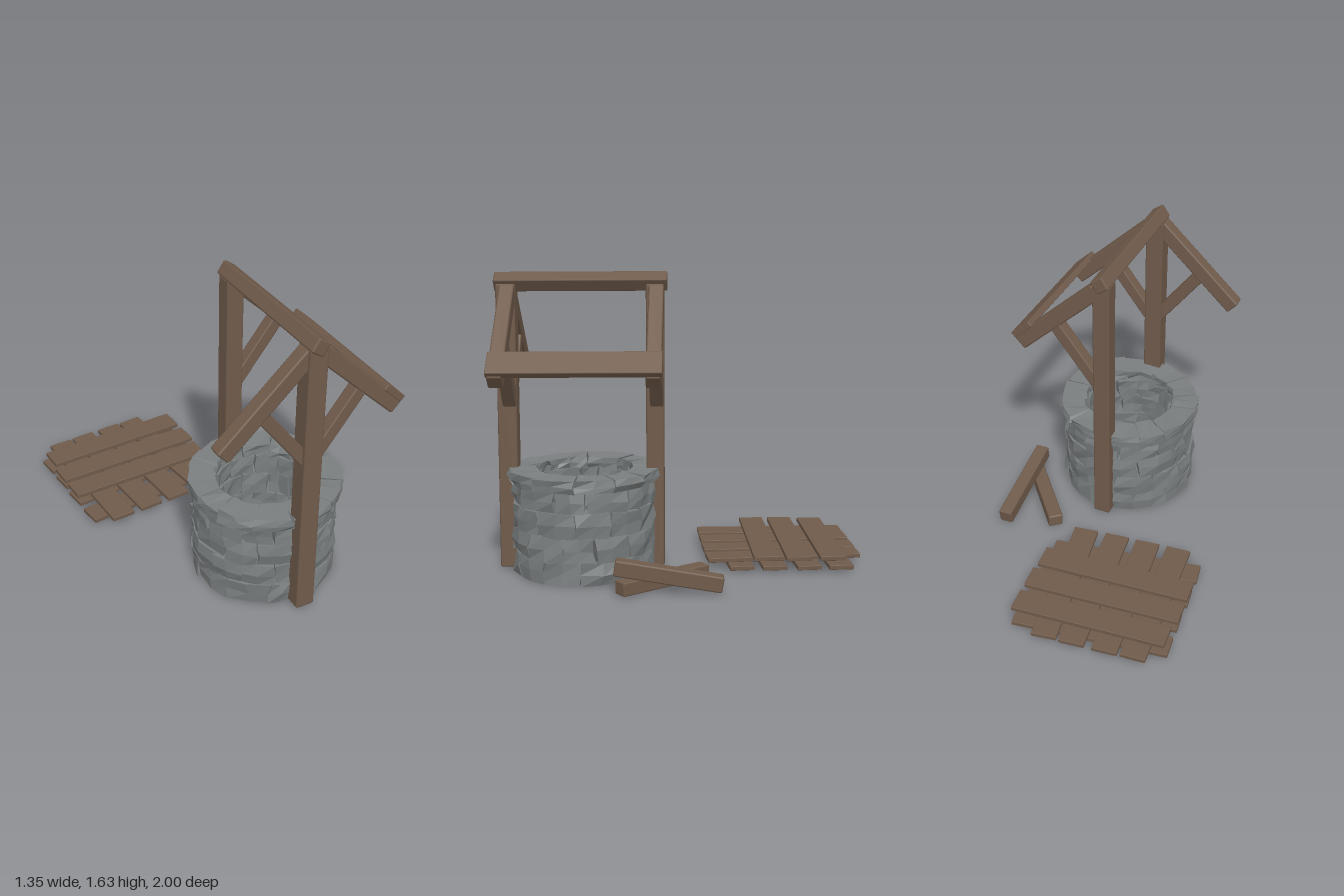
import * as THREE from 'three';
import { RoundedBoxGeometry } from 'three/addons/geometries/RoundedBoxGeometry.js';

const V = (x, y, z) => new THREE.Vector3(x, y, z);
const CX = 0.095, CZ = 0.53; // well centre

function seeded(seed) {
  return () => {
    seed = (seed * 16807) % 2147483647;
    return seed / 2147483647;
  };
}

export function createModel() {
  const model = new THREE.Group();
  const wood = new THREE.MeshStandardMaterial({ color: 0x705b4b });
  wood.name = 'wood';
  const stone = new THREE.MeshStandardMaterial({ color: 0x7a7e7e });
  stone.name = 'stone';
  const dark = new THREE.MeshStandardMaterial({ color: 0x1c1c1c, side: THREE.DoubleSide });
  dark.name = 'dark water';

  const rand = seeded(4711);
  const jit = (a) => (rand() * 2 - 1) * a;

  // Timber between two points; h is measured along the up vector
  function beam(name, a, b, w, h, up, parent = model) {
    const r = Math.min(0.01, Math.min(w, h) * 0.12);
    const mesh = new THREE.Mesh(new RoundedBoxGeometry(w, h, a.distanceTo(b), 1, r), wood);
    mesh.name = name;
    mesh.position.copy(a).lerp(b, 0.5);
    mesh.up.copy(up);
    mesh.lookAt(b);
    parent.add(mesh);
    return mesh;
  }

  // Irregular wedge-shaped stone: a box bent around the well with jittered corners
  function stoneBlock(a0, a1, y0, y1, r0, r1, rough) {
    const g = new THREE.BoxGeometry(1, 1, 1, 2, 2, 1);
    const p = g.attributes.position;
    const offsets = new Map();
    for (let i = 0; i < p.count; i++) {
      const x = p.getX(i), y = p.getY(i), z = p.getZ(i);
      const key = [x, y, z].map((n) => Math.round(n * 2)).join();
      if (!offsets.has(key)) offsets.set(key, [jit(0.035 * rough), jit(0.007), jit(0.012)]);
      const [da, dy, dr] = offsets.get(key);
      const bulge = z > 0 && Math.abs(y) < 0.1 ? 0.006 : 0;
      const angle = THREE.MathUtils.lerp(a0, a1, x + 0.5) + da;
      const radius = (z > 0 ? r1 + bulge : r0) + dr;
      const height = Math.max(0, THREE.MathUtils.lerp(y0, y1, y + 0.5) + dy);
      p.setXYZ(i, CX + Math.sin(angle) * radius, height, CZ + Math.cos(angle) * radius);
    }
    const flat = g.toNonIndexed();
    flat.computeVertexNormals();
    return new THREE.Mesh(flat, stone);
  }

  // Well wall: four courses and a wider rim
  const wall = new THREE.Group();
  wall.name = 'stoneWall';
  const courses = [
    [0.0, 0.125, 0.262, 0.388, 12], [0.125, 0.255, 0.262, 0.39, 12],
    [0.255, 0.388, 0.262, 0.386, 12], [0.388, 0.503, 0.262, 0.388, 12],
    [0.5, 0.568, 0.268, 0.412, 12],
  ];
  courses.forEach(([y0, y1, r0, r1, n], row) => {
    const cuts = [];
    for (let i = 0; i < n; i++) cuts.push(((i + row * 0.47 + jit(0.2)) / n) * Math.PI * 2);
    cuts.push(cuts[0] + Math.PI * 2);
    for (let i = 0; i < n; i++) {
      const s = stoneBlock(cuts[i] + 0.008, cuts[i + 1] - 0.008, y0, y1, r0, r1, 1);
      s.name = row === 4 ? 'rimStone' : 'wallStone';
      wall.add(s);
    }
  });
  model.add(wall);

  // Dark well bottom
  const water = new THREE.Mesh(new THREE.CircleGeometry(0.285, 32), dark);
  water.name = 'wellBottom';
  water.rotation.x = -Math.PI / 2;
  water.position.set(CX, 0.05, CZ);
  model.add(water);

  // Posts and ridge
  const Z = V(0, 0, 1), Y = V(0, 1, 0);
  beam('frontPost', V(0.092, 0.005, 0.942), V(0.095, 1.565, 0.935), 0.106, 0.106, Z);
  beam('backPost', V(0.095, 0.005, 0.138), V(0.095, 1.565, 0.136), 0.1, 0.098, Z);
  beam('ridgeBeam', V(CX, 1.575, 1.0), V(CX, 1.58, 0.07), 0.08, 0.08, V(Math.sin(0.6), Math.cos(0.6), 0));

  // Rafters with braces; the back frame has lost its -x side
  for (const [side, z, name] of [[-1, 0.934, 'frontRight'], [1, 0.925, 'frontLeft'], [1, 0.128, 'backLeft']]) {
    const at = (dx, y) => V(CX + side * dx, y, z);
    beam(name + 'Rafter', at(0.495, 1.093), at(0.025, 1.532), 0.088, 0.08, Z);
    beam(name + 'Brace', at(0.285, 1.265), at(0.025, 0.925), 0.07, 0.074, Z);
  }

  // Last remaining roof plank
  beam('roofPlank', V(0.564, 1.182, 0.97), V(0.572, 1.188, 0.083), 0.145, 0.038, V(0.68, 0.73, 0));

  // Fallen timbers
  beam('fallenBeam', V(0.593, 0.145, 0.333), V(0.58, 0.052, -0.227), 0.08, 0.085, Y);
  beam('fallenBrace', V(0.295, 0.043, -0.133), V(0.64, 0.043, 0.305), 0.085, 0.075, Y);

  // Collapsed roof panel: three crossed layers of planks
  const panel = new THREE.Group();
  panel.name = 'fallenRoofPanel';
  for (const [x0, z0, x1, z1] of [
    [-0.67, -0.785, 0.19, -0.885], [-0.655, -0.6, 0.2, -0.71],
    [-0.645, -0.41, 0.21, -0.52], [-0.63, -0.22, 0.215, -0.34],
  ]) beam('lowerPlank', V(x0, 0.024, z0), V(x1, 0.024, z1), 0.135, 0.024, Y, panel);
  for (const [x0, z0, x1, z1] of [
    [-0.465, -0.095, -0.52, -0.955], [-0.28, -0.11, -0.367, -0.97],
    [-0.097, -0.125, -0.185, -0.985], [0.09, -0.145, -0.03, -0.995],
  ]) beam('crossPlank', V(x0, 0.049, z0), V(x1, 0.049, z1), 0.14, 0.024, Y, panel);
  for (const [x0, z0, x1, z1] of [
    [-0.65, -0.775, 0.21, -0.835], [-0.66, -0.592, 0.22, -0.65],
    [-0.65, -0.42, 0.22, -0.473],
  ]) beam('upperPlank', V(x0, 0.08, z0), V(x1, 0.08, z1), 0.14, 0.025, Y, panel);
  model.add(panel);

  return model;
}
